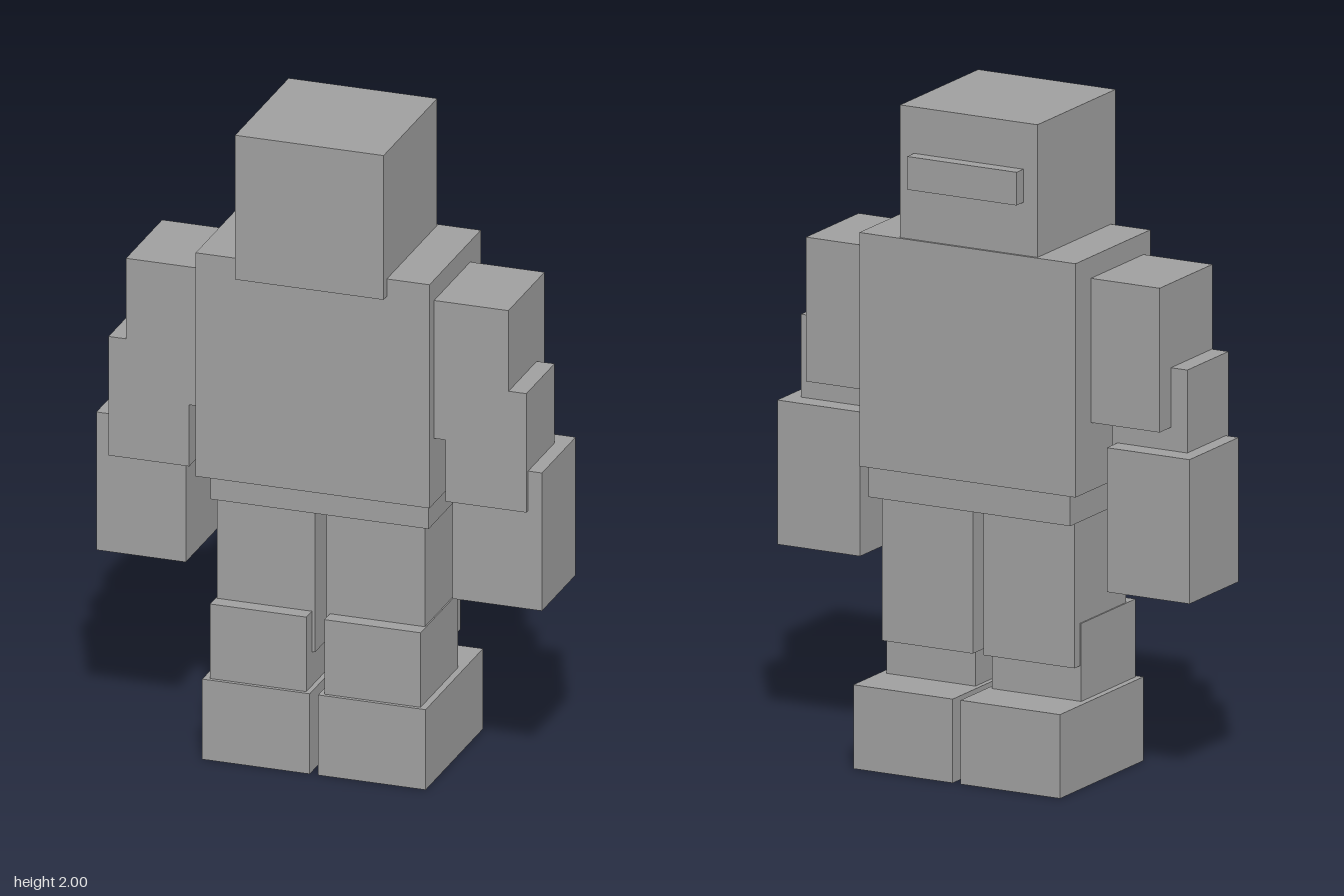
import * as THREE from 'three';

export function createModel() {
  const grey = new THREE.MeshStandardMaterial({ color: 0xa0a0a0 });
  grey.name = 'plain grey';

  const model = new THREE.Group();
  model.name = 'blockFigure';

  // Box given by its extents along each axis
  function block(parent, name, [x0, x1], [y0, y1], [z0, z1]) {
    const mesh = new THREE.Mesh(new THREE.BoxGeometry(x1 - x0, y1 - y0, z1 - z0), grey);
    mesh.position.set((x0 + x1) / 2, (y0 + y1) / 2, (z0 + z1) / 2);
    mesh.name = name;
    parent.add(mesh);
  }

  // Head with a raised bar on the back
  block(model, 'head', [-0.23, 0.23], [1.545, 2], [-0.195, 0.268]);
  block(model, 'headBackBar', [-0.183, 0.183], [1.76, 1.86], [-0.236, -0.19]);

  // Body
  block(model, 'torso', [-0.362, 0.362], [0.895, 1.6], [-0.203, 0.24]);
  block(model, 'pelvis', [-0.338, 0.338], [0.803, 0.9], [-0.192, 0.18]);

  // Limb segments for one side, mirrored to the other
  const limbs = {
    Arm: [
      ['upperArm', [0.36, 0.592], [1.1, 1.535], [-0.112, 0.2]],
      ['forearm', [0.397, 0.647], [0.905, 1.28], [-0.045, 0.198]],
      ['hand', [0.413, 0.69], [0.595, 1.03], [-0.108, 0.183]],
    ],
    Leg: [
      ['thigh', [0.018, 0.322], [0.36, 0.81], [-0.139, 0.168]],
      ['shin', [0.028, 0.326], [0.25, 0.488], [-0.106, 0.216]],
      ['foot', [0.013, 0.346], [0, 0.253], [-0.267, 0.228]],
    ],
  };
  for (const [side, s] of [['left', 1], ['right', -1]]) {
    for (const [limb, parts] of Object.entries(limbs)) {
      const group = new THREE.Group();
      group.name = side + limb;
      for (const [name, [inner, outer], y, z] of parts) {
        block(group, name, s > 0 ? [inner, outer] : [-outer, -inner], y, z);
      }
      model.add(group);
    }
  }
  return model;
}
